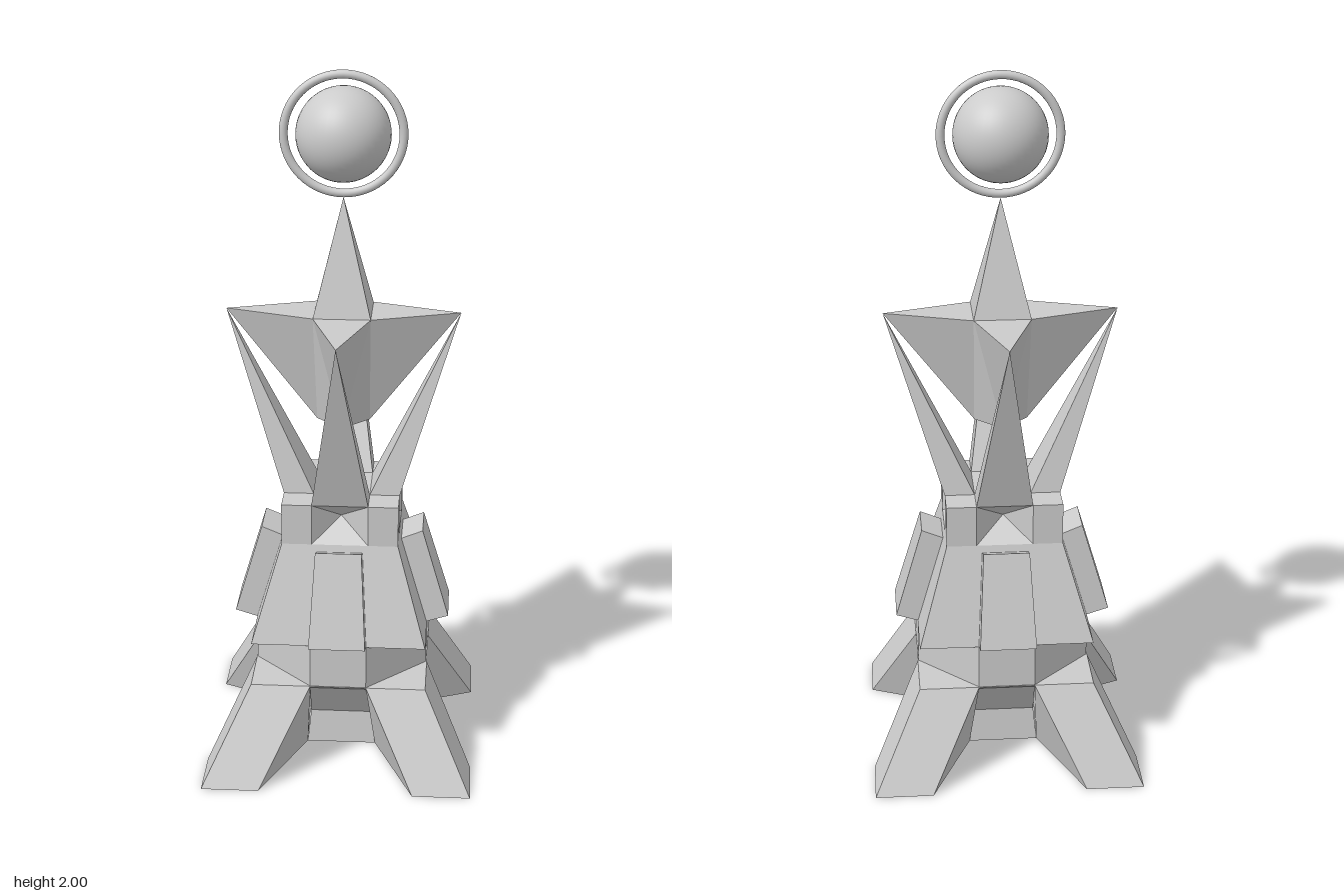
import * as THREE from 'three';
import { ConvexGeometry } from 'three/addons/geometries/ConvexGeometry.js';

const flat = new THREE.MeshStandardMaterial({ color: 0xcccccc, flatShading: true });
const smooth = new THREE.MeshStandardMaterial({ color: 0xcccccc });

// Solid spanned by a few corner points
function hull(points) {
  return new ConvexGeometry(points.map(p => new THREE.Vector3(...p)));
}

// Faceted surface from convex polygons, each listed counter-clockwise
function facets(polys) {
  const pos = [];
  for (const p of polys)
    for (let i = 1; i < p.length - 1; i++) pos.push(...p[0], ...p[i], ...p[i + 1]);
  const geo = new THREE.BufferGeometry();
  geo.setAttribute('position', new THREE.Float32BufferAttribute(pos, 3));
  geo.computeVertexNormals();
  return geo;
}

// The same corner pair on both sides of x = 0
const pair = (x, y, z) => [[-x, y, z], [x, y, z]];

export function createModel() {
  const model = new THREE.Group();

  // Repeats a part around the four sides
  function fourTimes(name, geo) {
    const group = new THREE.Group();
    group.name = name;
    for (let i = 0; i < 4; i++) {
      const mesh = new THREE.Mesh(geo, flat);
      mesh.name = name + (i + 1);
      mesh.rotation.y = i * Math.PI / 2;
      group.add(mesh);
    }
    model.add(group);
  }
  function single(name, geo, material, y = 0) {
    const mesh = new THREE.Mesh(geo, material);
    mesh.name = name;
    mesh.position.y = y;
    model.add(mesh);
  }

  // Splayed corner feet
  fourTimes('foot', hull([
    [0.25, 0.27, 0.25], [0.08, 0.27, 0.25], [0.25, 0.27, 0.08], [0.08, 0.27, 0.08],
    [0.385, 0, 0.385], [0.22, 0, 0.385], [0.385, 0, 0.22], [0.1, 0, 0.1],
  ]));

  // Central block on the ground and the undercut arches above it
  single('coreBlock', hull([
    ...pair(0.1, 0, 0.1), ...pair(0.1, 0, -0.1),
    ...pair(0.09, 0.1, 0.09), ...pair(0.09, 0.1, -0.09),
  ]), flat);
  fourTimes('undercut', hull([
    ...pair(0.08, 0.27, 0.25), ...pair(0.08, 0.27, 0),
    ...pair(0.09, 0.1, 0.09), ...pair(0.09, 0.1, 0),
  ]));

  // Eight-sided waist band
  const band = [];
  for (const y of [0.265, 0.4])
    for (const s of [-1, 1])
      band.push(...pair(0.08, y, s * 0.248), ...pair(0.248, y, s * 0.08));
  single('waistBand', hull(band), flat);

  // Tapered body, with a pyramid-shaped recess at the top of each side
  const [a, b] = pair(0.08, 0.8, 0.165);
  const [d, c] = pair(0.08, 0.68, 0.165);
  const [tl, tr] = pair(0.165, 0.8, 0.165);
  const [ml, mr] = pair(0.165, 0.68, 0.165);
  const [bl, br] = pair(0.248, 0.4, 0.248);
  const pit = [0, 0.74, 0.09];
  fourTimes('body', facets([
    [a, pit, b], [b, pit, c], [c, pit, d], [d, pit, a],
    [tl, ml, d, a], [b, c, mr, tr],
    [ml, bl, br, mr],
    [[0, 0.8, 0], tl, tr],
    [[0, 0.4, 0], br, bl],
  ]));

  // Tilted side panels
  fourTimes('sidePanel', hull([
    ...pair(0.065, 0.685, 0.232), ...pair(0.08, 0.422, 0.31),
    ...pair(0.065, 0.655, 0.16), ...pair(0.08, 0.4, 0.24),
  ]));

  // Leaning spikes that carry the star
  fourTimes('spike', hull([
    ...pair(0.08, 0.8, 0.165), ...pair(0.08, 0.8, 0.08), [0, 1.325, 0.328],
  ]));

  // Four-pointed star with a spire above and a tapering underside
  const [l, r] = pair(0.08, 1.325, 0.08);
  const tip = [0, 1.325, 0.328];
  const low = [0, 1, 0.075];
  const lowRight = [0.075, 1, 0];
  fourTimes('star', facets([
    [l, r, [0, 1.65, 0]],
    [l, tip, r],
    [l, low, tip], [tip, low, r],
    [r, low, lowRight],
    [[0, 1, 0], lowRight, low],
  ]));

  // Globe inside its ring
  single('globe', new THREE.SphereGeometry(0.13, 40, 28), smooth, 1.825);
  single('ring', new THREE.TorusGeometry(0.163, 0.012, 16, 64), smooth, 1.825);

  return model;
}
